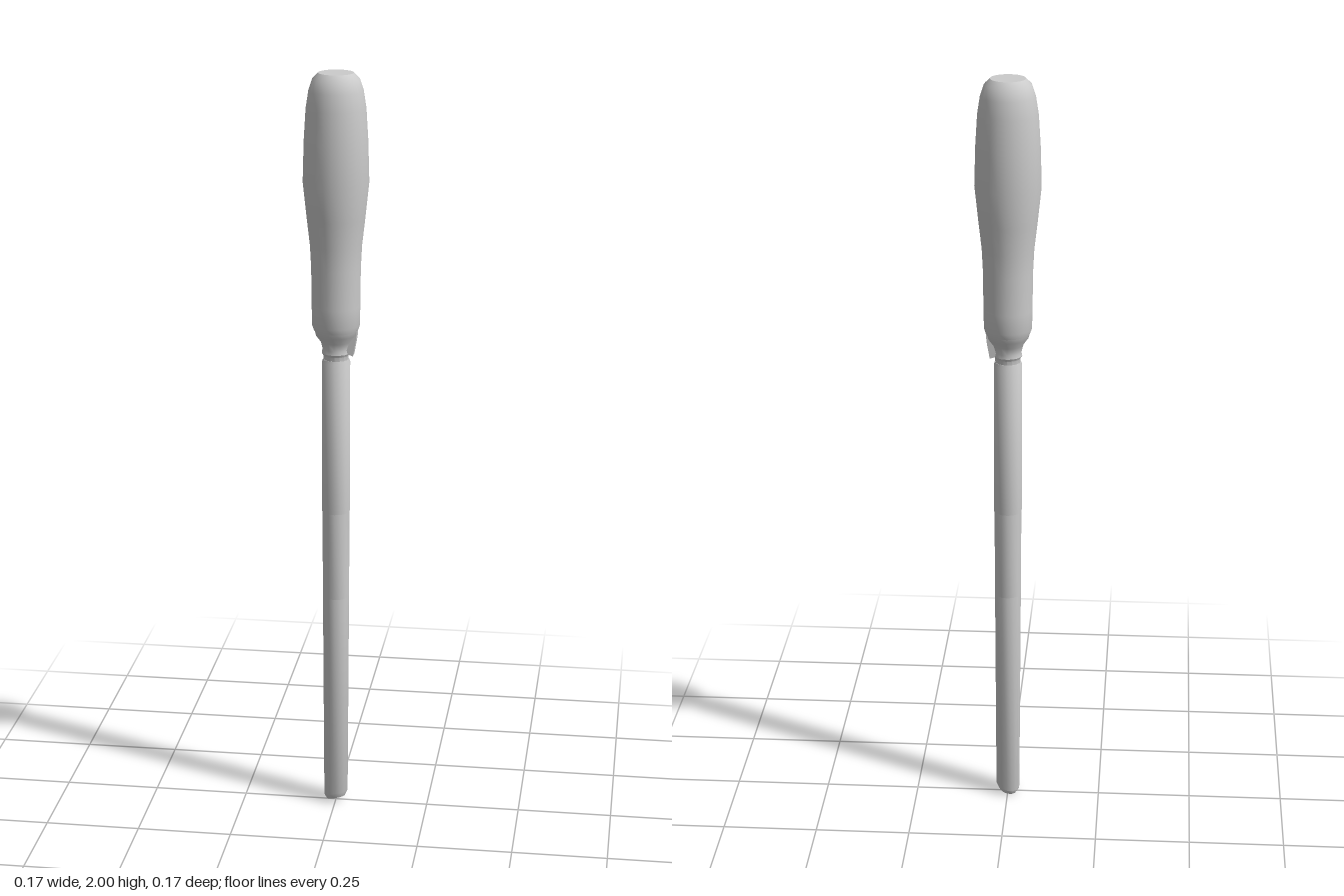
import * as THREE from 'three';
import { toCreasedNormals } from 'three/addons/utils/BufferGeometryUtils.js';

const material = new THREE.MeshStandardMaterial({ color: 0xcccccc, side: THREE.DoubleSide });

// Turned part from [radius, height] pairs, bottom to top
function turned(name, profile, sides, crease = 0.6) {
  const points = profile.map(([r, y]) => new THREE.Vector2(r, y));
  const geometry = new THREE.LatheGeometry(points, sides);
  const mesh = new THREE.Mesh(toCreasedNormals(geometry, crease), material);
  mesh.name = name;
  return mesh;
}

export function createModel() {
  const group = new THREE.Group();
  group.name = 'handTool';

  // Swelling grip with a flat butt
  group.add(turned('handle', [
    [0, 1.335], [0.057, 1.335], [0.062, 1.35], [0.063, 1.4], [0.064, 1.5], [0.067, 1.56],
    [0.075, 1.63], [0.085, 1.725], [0.082, 1.83], [0.077, 1.91], [0.07, 1.955],
    [0.06, 1.985], [0.045, 2], [0, 2],
  ], 24));

  // Funnel between grip and shaft
  group.add(turned('collar', [
    [0.057, 1.337], [0.053, 1.323], [0.04, 1.305], [0.035, 1.285], [0.037, 1.275],
    [0.033, 1.268], [0.033, 1.25],
  ].reverse(), 16));

  // Small tab hanging from the grip on one side
  const outline = new THREE.Shape([
    [0.02, 1.36], [0.058, 1.36], [0.054, 1.315], [0.046, 1.27], [0.03, 1.275],
  ].map(([x, y]) => new THREE.Vector2(x, y)));
  const tabGeometry = new THREE.ExtrudeGeometry(outline, { depth: 0.034, bevelEnabled: false });
  tabGeometry.translate(0, 0, -0.017);
  const tab = new THREE.Mesh(tabGeometry, material);
  tab.name = 'collarTab';
  group.add(tab);

  // Shaft in three lengths, tapering to a blunt tip
  group.add(turned('upperShaft', [[0, 1.258], [0.034, 1.258], [0.037, 1.25], [0.037, 0.84]].reverse(), 14));
  group.add(turned('middleShaft', [[0.035, 0.6], [0.036, 0.84]], 14));
  const lower = turned('lowerShaft', [[0, 0.008], [0.025, 0.008], [0.032, 0.022], [0.035, 0.6]], 14);
  // Cut the tip at a slight slant
  const position = lower.geometry.attributes.position;
  for (let i = 0; i < position.count; i++) {
    const y = position.getY(i);
    if (y < 0.1) position.setY(i, y + 0.225 * (position.getX(i) + position.getZ(i)));
  }
  lower.geometry = toCreasedNormals(lower.geometry, 0.6);
  group.add(lower);

  return group;
}
